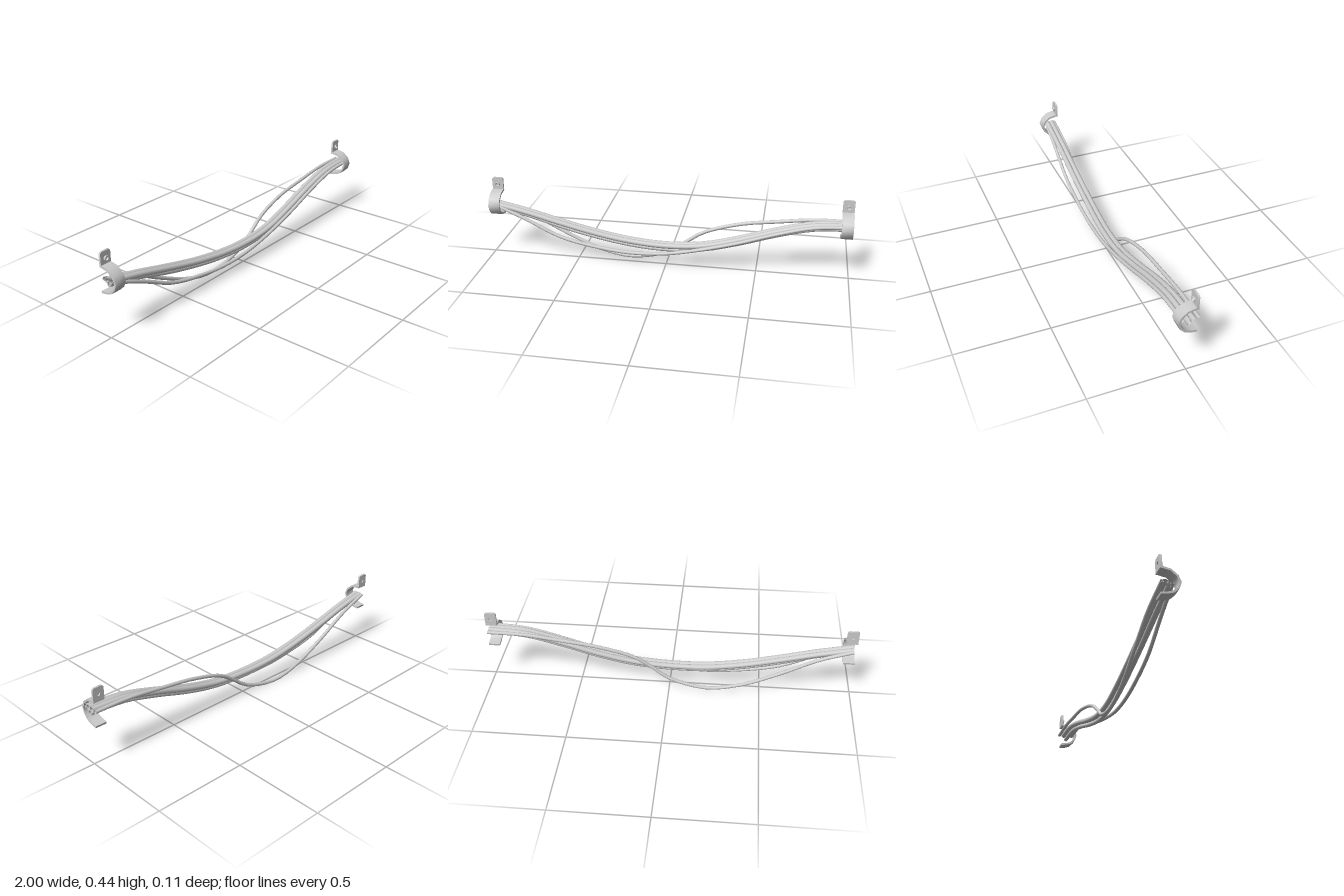
import * as THREE from 'three';
import { toCreasedNormals } from 'three/addons/utils/BufferGeometryUtils.js';

const metal = new THREE.MeshStandardMaterial({ color: 0xcccccc });
const openTube = new THREE.MeshStandardMaterial({ color: 0xcccccc, side: THREE.DoubleSide });

function addMesh(parent, name, geometry, material) {
  const mesh = new THREE.Mesh(geometry, material);
  mesh.name = name;
  parent.add(mesh);
  return mesh;
}

// Round open-ended cable through [x, y, z] points
function addCable(parent, name, radius, points) {
  const path = new THREE.CatmullRomCurve3(points.map((p) => new THREE.Vector3(...p)));
  addMesh(parent, name, new THREE.TubeGeometry(path, 40, radius, 10), openTube);
}

function createBracket(name) {
  const bracket = new THREE.Group();
  bracket.name = name;
  const width = 0.062, thick = 0.011;

  // Curved strap: centre line in [z, y], thickened to both sides
  const line = [[-0.041, 0.367], [-0.032, 0.367], [0.006, 0.360], [0.038, 0.334], [0.051, 0.303],
    [0.040, 0.271], [0.016, 0.247], [-0.013, 0.237], [-0.045, 0.232]].map((p) => new THREE.Vector2(...p));
  const side = (s) => line.map((p, i) => {
    const a = line[Math.max(i - 1, 0)], b = line[Math.min(i + 1, line.length - 1)];
    const d = b.clone().sub(a).normalize();
    return new THREE.Vector2(p.x - d.y * s, p.y + d.x * s);
  });
  const outline = new THREE.Shape([...side(thick / 2), ...side(-thick / 2).reverse()]);
  const strap = new THREE.ExtrudeGeometry(outline, { depth: width, bevelEnabled: false });
  strap.translate(0, 0, -width / 2).rotateY(-Math.PI / 2);
  addMesh(bracket, 'strap', toCreasedNormals(strap, 0.8), metal);

  // Upright tab with clipped corners and a screw hole
  const w = width / 2, c = 0.008;
  const tab = new THREE.Shape([[-w, 0.362], [w, 0.362], [w, 0.44 - c], [w - c, 0.44], [c - w, 0.44], [-w, 0.44 - c]]
    .map((p) => new THREE.Vector2(...p)));
  tab.holes.push(new THREE.Path().absarc(0, 0.402, 0.010, 0, Math.PI * 2, true));
  const plate = new THREE.ExtrudeGeometry(tab, { depth: thick, bevelEnabled: false, curveSegments: 6 });
  plate.translate(0, 0, -0.046);
  addMesh(bracket, 'tab', toCreasedNormals(plate, 0.8), metal);

  // Screw head with a dished face, axis along z
  const profile = [[0, -0.004], [0.012, -0.004], [0.013, 0.007], [0.012, 0.010], [0.010, 0.010], [0.006, 0.003], [0, 0.003]]
    .map((p) => new THREE.Vector2(...p));
  const screw = addMesh(bracket, 'screw', toCreasedNormals(new THREE.LatheGeometry(profile, 10), 0.7), metal);
  screw.rotation.x = Math.PI / 2;
  screw.position.set(0, 0.402, -0.035);
  return bracket;
}

export function createModel() {
  const model = new THREE.Group();
  model.name = 'cableRun';

  for (const [name, x] of [['rightBracket', -0.966], ['leftBracket', 0.969]]) {
    const bracket = createBracket(name);
    bracket.position.x = x;
    model.add(bracket);
  }

  // Tight bundle: one shared sag, each cable offset in height and depth
  const sag = [[-0.985, 0.302], [-0.8, 0.262], [-0.6, 0.210], [-0.4, 0.163], [-0.2, 0.131], [0, 0.122],
    [0.2, 0.138], [0.4, 0.187], [0.6, 0.251], [0.8, 0.302], [0.996, 0.315]];
  const bundle = [
    ['thickFrontCable', 0.015, 0, 0.009],
    ['thickBackCable', 0.015, 0, -0.018],
    ['lowerCable', 0.0125, -0.025, -0.003],
  ];
  for (const [name, radius, dy, z] of bundle) {
    addCable(model, name, radius, sag.map(([x, y]) =>
      [x, y + dy * (x < -0.7 ? 0.8 : 1), z + 0.013 * Math.exp(-(((x - 0.12) / 0.3) ** 2))]));
  }

  // Loose thin cables that hang away from the bundle
  addCable(model, 'frontThinCable', 0.01, [[-0.985, 0.302, 0.018], [-0.8, 0.227, 0.023], [-0.6, 0.135, 0.029],
    [-0.4, 0.091, 0.033], [-0.2, 0.071, 0.036], [0, 0.084, 0.040], [0.2, 0.126, 0.042], [0.4, 0.180, 0.038],
    [0.6, 0.246, 0.034], [0.8, 0.300, 0.033], [0.996, 0.315, 0.033]]);
  addCable(model, 'backThinCable', 0.01, [[-0.985, 0.302, -0.034], [-0.8, 0.240, -0.042], [-0.6, 0.136, -0.046],
    [-0.4, 0.047, -0.046], [-0.21, 0.0105, -0.046], [0, 0.058, -0.037], [0.1, 0.127, -0.031], [0.2, 0.194, -0.036],
    [0.4, 0.256, -0.045], [0.6, 0.286, -0.046], [0.8, 0.311, -0.046], [0.996, 0.315, -0.046]]);

  return model;
}
